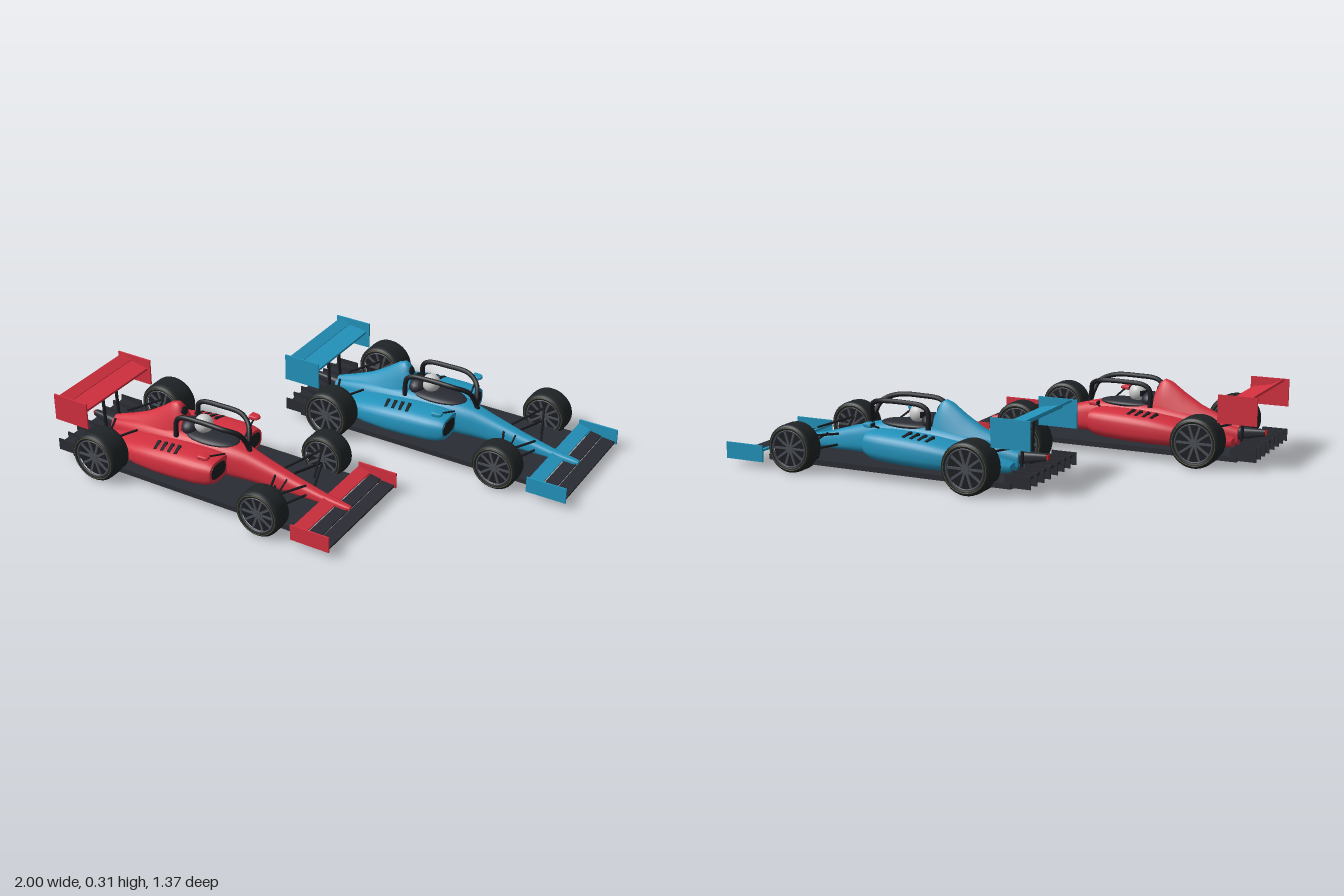
import * as THREE from 'three';

const mat = (color, side = THREE.FrontSide) => new THREE.MeshStandardMaterial({ color, side });
const CARBON = mat(0x2a2c34), DARK = mat(0x1b1d22), TYRE = mat(0x1f2426), RIM = mat(0x4a4e55);
const BAND = mat(0x6b6436), WHITE = mat(0xe4e4e4), LAMP = mat(0xd02020);

function add(parent, name, geo, material, pos = [0, 0, 0], rot = [0, 0, 0]) {
  const m = new THREE.Mesh(geo, material);
  m.name = name;
  m.position.set(...pos);
  m.rotation.set(...rot);
  parent.add(m);
  return m;
}
const box = (p, name, material, size, pos, rot) => add(p, name, new THREE.BoxGeometry(...size), material, pos, rot);

// straight round bar between two points
function rod(parent, name, a, b, r, material) {
  const curve = new THREE.LineCurve3(new THREE.Vector3(...a), new THREE.Vector3(...b));
  return add(parent, name, new THREE.TubeGeometry(curve, 1, r, 8), material);
}

// skin over rounded sections along x: [x, centreZ, halfWidth, bottomY, topY, topTaper]
function loft(sections, power = 0.7, n = 32) {
  const pos = [], idx = [];
  const ring = ([x, zc, w, y0, y1, taper = 1]) => {
    for (let j = 0; j < n; j++) {
      const a = (j / n) * Math.PI * 2, c = Math.cos(a), s = Math.sin(a);
      const t = (Math.sign(s) * Math.abs(s) ** power + 1) / 2;
      const z = Math.sign(c) * Math.abs(c) ** power * w * (1 + (taper - 1) * t);
      pos.push(x, y0 + (y1 - y0) * t, zc + z);
    }
  };
  sections.forEach(ring);
  for (let i = 0; i < sections.length - 1; i++) for (let j = 0; j < n; j++) {
    const k = (j + 1) % n, a = i * n + j, b = a + n, c = i * n + k, d = c + n;
    idx.push(a, b, c, c, b, d);
  }
  // end caps with their own corners so the rims stay sharp
  for (const s of [sections[0], sections[sections.length - 1]]) {
    const base = pos.length / 3, first = s === sections[0];
    ring(s);
    pos.push(s[0], (s[3] + s[4]) / 2, s[1]);
    for (let j = 0; j < n; j++) {
      const k = (j + 1) % n;
      idx.push(base + n, base + (first ? j : k), base + (first ? k : j));
    }
  }
  const g = new THREE.BufferGeometry();
  g.setAttribute('position', new THREE.Float32BufferAttribute(pos, 3));
  g.setIndex(idx);
  g.computeVertexNormals();
  return g;
}

function makeWheel(name, r, w) {
  const g = new THREE.Group(), h = w / 2, rim = r * 0.75;
  g.name = name;
  const profile = [[rim, -h * 0.9], [r * 0.84, -h], [r * 0.93, -h * 0.95], [r * 0.985, -h * 0.8], [r, -h * 0.55],
    [r, h * 0.55], [r * 0.985, h * 0.8], [r * 0.93, h * 0.95], [r * 0.84, h], [rim, h * 0.9]];
  add(g, 'tyre', new THREE.LatheGeometry(profile.map(p => new THREE.Vector2(...p)), 40), TYRE, [0, 0, 0], [Math.PI / 2, 0, 0]);
  add(g, 'rimDisc', new THREE.CylinderGeometry(rim, rim, w * 0.72, 40), DARK, [0, 0, 0], [Math.PI / 2, 0, 0]);
  for (const s of [-1, 1]) {
    add(g, 'rimRing', new THREE.TorusGeometry(rim, r * 0.035, 8, 40), RIM, [0, 0, s * h * 0.9]);
    add(g, 'tyreBand', new THREE.TorusGeometry(r * 0.87, r * 0.012, 6, 40), BAND, [0, 0, s * h * 0.99]);
    for (let i = 0; i < 10; i++) {
      const a = (i / 10) * Math.PI * 2;
      box(g, 'spoke', RIM, [rim * 0.85, r * 0.09, w * 0.08],
        [Math.cos(a) * rim * 0.53, Math.sin(a) * rim * 0.53, s * h * 0.74], [0, 0, a]);
    }
  }
  add(g, 'hub', new THREE.CylinderGeometry(r * 0.16, r * 0.16, w * 0.88, 20), RIM, [0, 0, 0], [Math.PI / 2, 0, 0]);
  return g;
}

function makeCar(name, color) {
  const car = new THREE.Group(), PAINT = mat(color);
  car.name = name;

  // floor and diffuser
  box(car, 'floor', CARBON, [1.1, 0.022, 0.45], [-0.05, 0.043, 0]);
  box(car, 'diffuser', CARBON, [0.1, 0.012, 0.43], [-0.615, 0.062, 0], [0, 0, -0.25]);
  for (const z of [0.035, 0.095, 0.155, 0.215]) for (const s of [-1, 1])
    box(car, 'diffuserFin', CARBON, [0.11, 0.052, 0.005], [-0.625, 0.063, s * z]);

  // tub running into the nose
  add(car, 'tubAndNose', loft([
    [-0.54, 0, 0.04, 0.05, 0.13], [-0.4, 0, 0.07, 0.05, 0.17], [-0.2, 0, 0.09, 0.05, 0.2], [0, 0, 0.085, 0.05, 0.2, 0.9],
    [0.08, 0, 0.075, 0.05, 0.193, 0.85], [0.14, 0, 0.062, 0.05, 0.18, 0.8], [0.22, 0, 0.05, 0.05, 0.157, 0.8],
    [0.36, 0, 0.037, 0.05, 0.117, 0.8], [0.49, 0, 0.026, 0.048, 0.087, 0.8], [0.6, 0, 0.017, 0.047, 0.07, 0.8],
    [0.62, 0, 0.01, 0.052, 0.065]]), PAINT);

  // engine cover rising to the air intake
  add(car, 'engineCover', loft([
    [-0.54, 0, 0.035, 0.08, 0.14, 0.4], [-0.45, 0, 0.06, 0.1, 0.172, 0.35], [-0.367, 0, 0.08, 0.1, 0.207, 0.3],
    [-0.29, 0, 0.085, 0.1, 0.255, 0.3], [-0.235, 0, 0.085, 0.1, 0.295, 0.32], [-0.205, 0, 0.08, 0.1, 0.305, 0.35],
    [-0.185, 0, 0.075, 0.1, 0.292, 0.38], [-0.165, 0, 0.07, 0.1, 0.25, 0.5]]), PAINT);
  add(car, 'airIntake', new THREE.SphereGeometry(1, 20, 12), DARK, [-0.179, 0.266, 0], [0, 0, 0.4]).scale.set(0.01, 0.022, 0.022);

  // cockpit opening and driver helmet
  add(car, 'cockpitOpening', new THREE.SphereGeometry(1, 32, 16), CARBON, [-0.045, 0.19, 0]).scale.set(0.135, 0.02, 0.07);
  add(car, 'helmet', new THREE.SphereGeometry(0.04, 28, 20), WHITE, [-0.08, 0.236, 0]);
  add(car, 'visor', new THREE.SphereGeometry(0.041, 24, 10, Math.PI - 1, 2, 1.25, 0.6), DARK, [-0.08, 0.236, 0], [0, Math.PI, 0]);
  add(car, 'headrest', new THREE.SphereGeometry(1, 20, 12), CARBON, [-0.14, 0.21, 0]).scale.set(0.04, 0.035, 0.055);

  for (const s of [1, -1]) {
    // sidepod with inlet and cooling slots
    add(car, 'sidepod', loft([
      [-0.53, s * 0.05, 0.04, 0.055, 0.09], [-0.47, s * 0.07, 0.06, 0.05, 0.11], [-0.38, s * 0.09, 0.085, 0.05, 0.138],
      [-0.3, s * 0.105, 0.093, 0.05, 0.158], [-0.2, s * 0.115, 0.097, 0.052, 0.174, 0.95], [-0.1, s * 0.12, 0.092, 0.055, 0.181, 0.95],
      [0, s * 0.12, 0.085, 0.06, 0.183], [0.05, s * 0.12, 0.078, 0.068, 0.181], [0.075, s * 0.12, 0.07, 0.08, 0.175]]), PAINT);
    add(car, 'sidepodInlet', loft([[0.06, s * 0.128, 0.05, 0.098, 0.162], [0.077, s * 0.128, 0.05, 0.098, 0.162]]), DARK);
    for (let i = 0; i < 4; i++)
      box(car, 'coolingSlot', DARK, [0.013, 0.014, 0.05], [-0.21 + i * 0.034, 0.168 + i * 0.003, s * 0.15], [s * 0.25, s * 0.2, 0]);

    // halo half: rises from the centre post and sweeps back
    const path = [[0.14, 0.185, 0], [0.132, 0.225, 0.015], [0.115, 0.265, 0.04], [0.06, 0.288, 0.072], [-0.05, 0.292, 0.076],
      [-0.135, 0.285, 0.076], [-0.16, 0.265, 0.076], [-0.165, 0.19, 0.08]].map(p => new THREE.Vector3(p[0], p[1], s * p[2]));
    add(car, 'halo', new THREE.TubeGeometry(new THREE.CatmullRomCurve3(path), 48, 0.0105, 10), DARK);

    // mirrors
    add(car, 'mirror', loft([[0.03, s * 0.183, 0.02, 0.203, 0.224], [0.06, s * 0.183, 0.018, 0.204, 0.223],
      [0.07, s * 0.183, 0.01, 0.208, 0.219]], 0.5, 20), PAINT);
    box(car, 'mirrorGlass', DARK, [0.003, 0.014, 0.03], [0.029, 0.2135, s * 0.183]);
    rod(car, 'mirrorStalk', [0.05, 0.21, s * 0.175], [0.07, 0.175, s * 0.07], 0.004, DARK);

    // wheels
    const front = makeWheel('frontWheel', 0.1, 0.095), rear = makeWheel('rearWheel', 0.107, 0.115);
    front.position.set(0.362, 0.102, s * 0.242);
    rear.position.set(-0.437, 0.107, s * 0.238);
    car.add(front, rear);

    // wishbones, push rods and drive shafts
    for (const dx of [-0.075, 0.07]) {
      rod(car, 'frontUpperArm', [0.36, 0.138, s * 0.21], [0.36 + dx, 0.12, s * 0.03], 0.005, DARK);
      rod(car, 'frontLowerArm', [0.36, 0.075, s * 0.21], [0.36 + dx, 0.075, s * 0.03], 0.005, DARK);
      rod(car, 'rearUpperArm', [-0.437, 0.145, s * 0.2], [-0.437 + dx, 0.145, s * 0.04], 0.005, DARK);
      rod(car, 'rearLowerArm', [-0.437, 0.075, s * 0.2], [-0.437 + dx, 0.08, s * 0.04], 0.005, DARK);
    }
    rod(car, 'frontPushRod', [0.36, 0.08, s * 0.2], [0.34, 0.118, s * 0.03], 0.004, DARK);
    rod(car, 'driveShaft', [-0.437, 0.107, s * 0.2], [-0.437, 0.107, s * 0.03], 0.008, DARK);

    // wing end plates and supports
    box(car, 'frontEndPlate', PAINT, [0.176, 0.069, 0.007], [0.592, 0.062, s * 0.264]);
    box(car, 'rearEndPlate', PAINT, [0.168, 0.118, 0.007], [-0.596, 0.246, s * 0.2175]);
    rod(car, 'rearWingSupport', [-0.56, 0.06, s * 0.045], [-0.57, 0.262, s * 0.045], 0.007, DARK);
    rod(car, 'noseSupport', [0.58, 0.035, s * 0.02], [0.56, 0.065, s * 0.012], 0.006, PAINT);
  }
  rod(car, 'haloPost', [0.145, 0.17, 0], [0.134, 0.22, 0], 0.011, DARK);

  // front wing: two dark planes and a painted rear flap
  box(car, 'frontWingMain', CARBON, [0.06, 0.009, 0.525], [0.643, 0.038, 0], [0, 0, -0.08]);
  box(car, 'frontWingMiddle', CARBON, [0.05, 0.008, 0.525], [0.585, 0.05, 0], [0, 0, -0.18]);
  box(car, 'frontWingFlap', PAINT, [0.055, 0.008, 0.525], [0.53, 0.068, 0], [0, 0, -0.3]);

  // rear wing
  box(car, 'rearWingMain', PAINT, [0.09, 0.011, 0.43], [-0.572, 0.266, 0], [0, 0, -0.15]);
  box(car, 'rearWingFlap', PAINT, [0.05, 0.009, 0.43], [-0.636, 0.289, 0], [0, 0, -0.45]);

  // crash structure with rear lamp
  add(car, 'crashStructure', loft([[-0.65, 0, 0.012, 0.1, 0.128], [-0.52, 0, 0.03, 0.07, 0.13]]), CARBON);
  box(car, 'rearLamp', LAMP, [0.008, 0.02, 0.016], [-0.653, 0.114, 0]);
  return car;
}

export function createModel() {
  const model = new THREE.Group();
  model.name = 'racingCars';
  const red = makeCar('redCar', 0xd4303f), blue = makeCar('blueCar', 0x2394bd);
  red.position.set(-0.32, 0, 0.39);
  blue.position.set(0.32, 0, -0.39);
  model.add(red, blue);
  return model;
}
